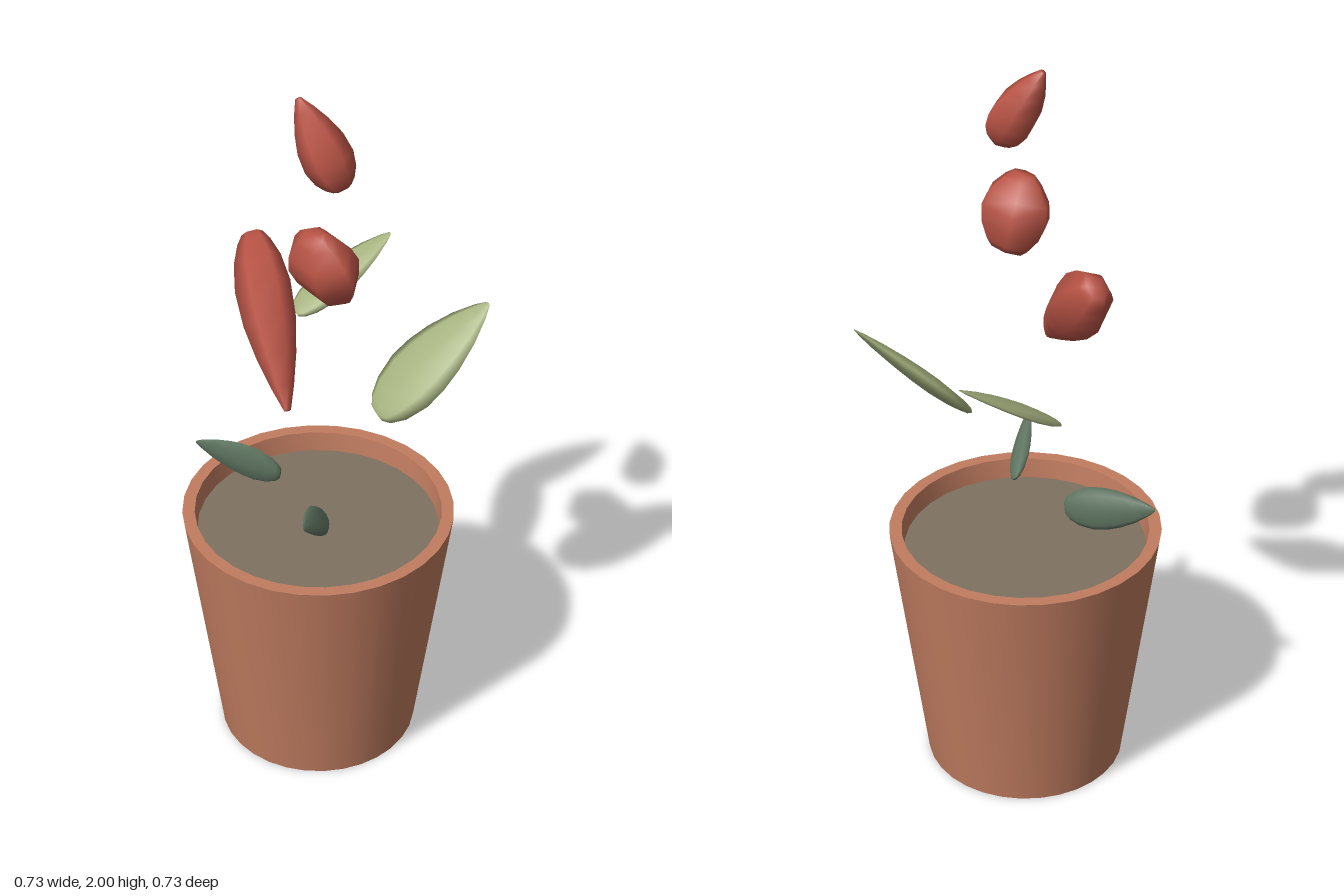
import * as THREE from 'three';
import { toCreasedNormals } from 'three/addons/utils/BufferGeometryUtils.js';

const mat = (name, color) => {
  const m = new THREE.MeshStandardMaterial({ color });
  m.name = name;
  return m;
};

// relative half-width along the axis, from blunt base to pointed tip
const LEAF = [[0, 0.3], [0.04, 0.55], [0.14, 0.82], [0.3, 1], [0.45, 0.98], [0.6, 0.86], [0.78, 0.6], [0.93, 0.28], [1, 0.07]];
const PETAL = [[0, 0.38], [0.05, 0.6], [0.15, 0.85], [0.3, 1], [0.5, 0.94], [0.7, 0.7], [0.87, 0.4], [1, 0.12]];
const BUD = [[0, 0.45], [0.08, 0.62], [0.28, 0.88], [0.5, 1], [0.7, 0.88], [0.9, 0.55], [1, 0.3]];

// closed loft of elliptical rings between base and tip; "across" points along the width
function blade(base, tip, across, halfWidth, halfThick, profile, sides) {
  const b = new THREE.Vector3(...base);
  const axis = new THREE.Vector3(...tip).sub(b);
  const a = axis.clone().normalize();
  const w = new THREE.Vector3(...across);
  w.addScaledVector(a, -w.dot(a)).normalize();
  const n = new THREE.Vector3().crossVectors(a, w);
  const pos = [];
  const idx = [];
  for (const [t, s] of profile) {
    for (let j = 0; j < sides; j++) {
      const ang = (j / sides) * Math.PI * 2;
      const p = b.clone().addScaledVector(axis, t)
        .addScaledVector(w, Math.cos(ang) * halfWidth * s)
        .addScaledVector(n, Math.sin(ang) * halfThick * s);
      pos.push(p.x, p.y, p.z);
    }
  }
  const last = (profile.length - 1) * sides;
  const baseCentre = last + sides;
  pos.push(...base, ...tip);
  for (let j = 0; j < sides; j++) {
    const k = (j + 1) % sides;
    for (let r = 0; r < last; r += sides) {
      idx.push(r + j, r + k, r + sides + k, r + j, r + sides + k, r + sides + j);
    }
    idx.push(baseCentre, k, j, baseCentre + 1, last + j, last + k);
  }
  const g = new THREE.BufferGeometry();
  g.setAttribute('position', new THREE.Float32BufferAttribute(pos, 3));
  g.setIndex(idx);
  g.computeVertexNormals();
  return g;
}

export function createModel() {
  const model = new THREE.Group();
  model.name = 'floatingFlowerPot';
  const clay = mat('terracotta', 0xc07c60);
  const earth = mat('soil', 0x7e7160);
  const paleGreen = mat('paleGreen', 0xa4b07d);
  const darkGreen = mat('darkGreen', 0x5f7561);
  const red = mat('petalRed', 0xb85345);

  const add = (name, geometry, material) => {
    const mesh = new THREE.Mesh(geometry, material);
    mesh.name = name;
    model.add(mesh);
  };

  // tapered pot with an open, thick rim
  const wall = [[0, 0], [0.27, 0], [0.363, 0.715], [0.33, 0.715], [0.323, 0.65]];
  const pot = new THREE.LatheGeometry(wall.map(([x, y]) => new THREE.Vector2(x, y)), 32);
  add('pot', toCreasedNormals(pot, 0.6), clay);

  // soil disc inside the rim
  const soil = new THREE.CircleGeometry(0.325, 32);
  soil.rotateX(-Math.PI / 2).translate(0, 0.658, 0);
  add('soil', soil, earth);

  // floating leaves: base, tip, width direction, half width, half thickness
  const leaves = [
    ['upperLeafLeft', [0.125, 1.06, -0.095], [0.237, 1.352, -0.362], [1, -0.2, 0.2], 0.1, 0.022, paleGreen],
    ['upperLeafRight', [-0.225, 1.183, -0.095], [-0.166, 1.357, -0.364], [1, -0.1, 0.2], 0.064, 0.013, paleGreen],
    ['lowerLeafRight', [-0.095, 0.795, 0.055], [-0.303, 0.834, 0.181], [0, 1, 0.15], 0.062, 0.02, darkGreen],
    ['lowerLeafLeft', [0.108, 0.785, 0.06], [0.225, 0.89, 0.217], [0.735, -0.674, -0.07], 0.042, 0.014, darkGreen],
  ];
  for (const [name, base, tip, across, hw, ht, m] of leaves) {
    add(name, blade(base, tip, across, hw, ht, LEAF, 8), m);
  }

  // floating red petals
  const petals = [
    ['topPetal', [0.135, 1.79, 0.03], [0.02, 2, 0.075], [0.9, 0.43, 0], 0.064, 0.064, PETAL],
    ['middlePetal', [0.122, 1.485, 0.045], [0.12, 1.68, 0.105], [1, 0, 0], 0.115, 0.078, BUD],
    ['largePetal', [-0.205, 1.5, 0.055], [0.113, 1.185, 0.182], [0.7, 0.71, 0], 0.085, 0.068, PETAL],
  ];
  for (const [name, base, tip, across, hw, ht, profile] of petals) {
    add(name, blade(base, tip, across, hw, ht, profile, 6), red);
  }
  return model;
}
